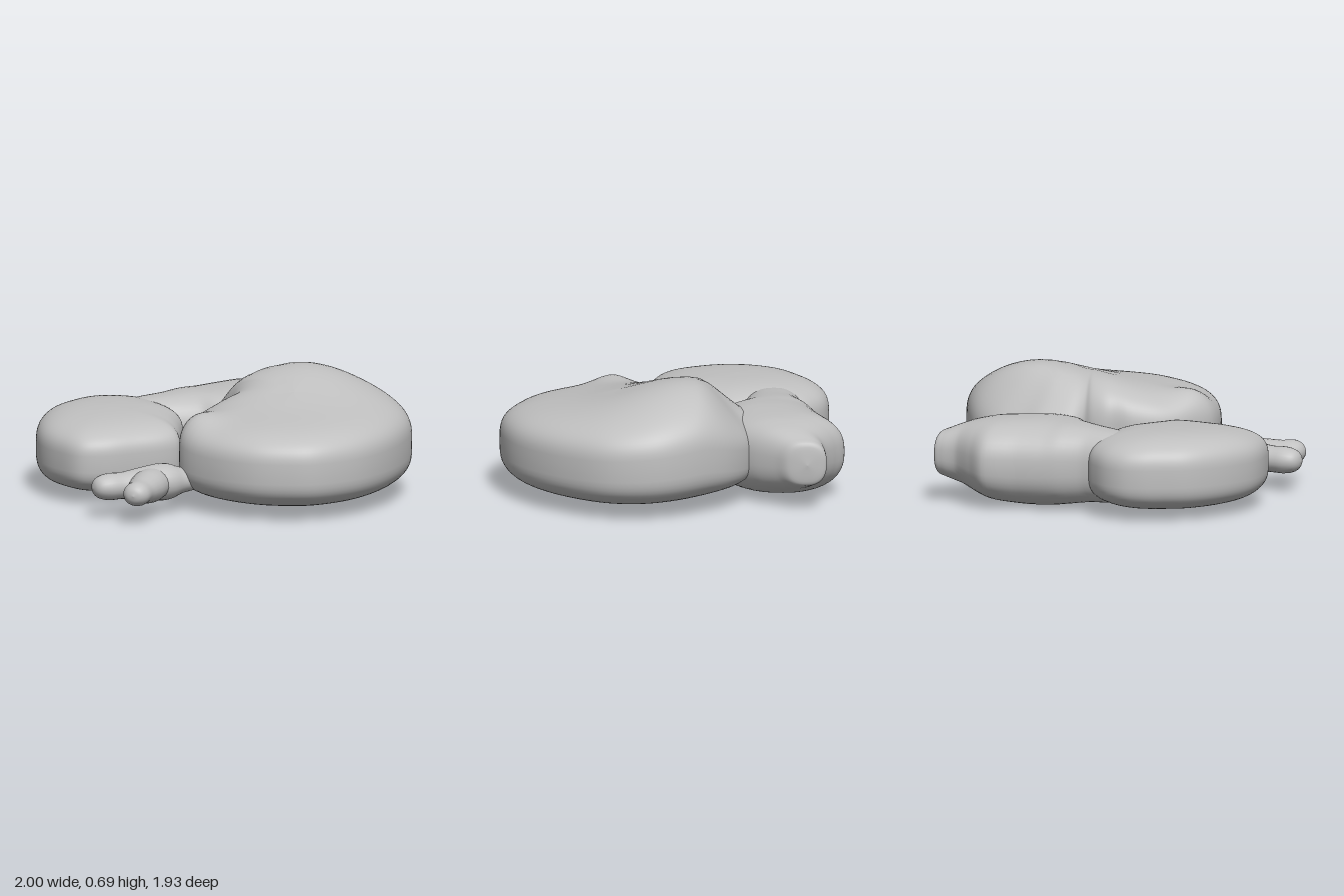
import * as THREE from 'three';

const grey = new THREE.MeshStandardMaterial({ color: 0xc0c0c0 });
grey.name = 'clay grey';

const bump = (x, z, cx, cz, amp, spread) => amp * Math.exp(-((x - cx) ** 2 + (z - cz) ** 2) / spread);
const signedPow = (v, e) => Math.sign(v) * Math.pow(Math.abs(v), e);

// Smooth closed skin over a list of rings with equal point counts.
function skin(name, rings) {
  const n = rings[0].length, index = [];
  for (let i = 0; i < rings.length - 1; i++) {
    for (let j = 0; j < n; j++) {
      const p = i * n + j, q = i * n + (j + 1) % n;
      index.push(p, p + n, q, q, p + n, q + n);
    }
  }
  const g = new THREE.BufferGeometry().setFromPoints(rings.flat());
  g.setIndex(index);
  g.computeVertexNormals();
  const mesh = new THREE.Mesh(g, grey);
  mesh.name = name;
  return mesh;
}

// Pillow-like slab: an outline in x/z swept from bottom to top with rounded rims.
function slab(name, outline, [cx, cz], bottom, top, power) {
  const curve = new THREE.CatmullRomCurve3(outline.map(([x, z]) => new THREE.Vector3(x, 0, z)), true);
  const rim = curve.getPoints(120).slice(0, -1);
  if (THREE.ShapeUtils.area(rim.map(p => new THREE.Vector2(p.x, p.z))) < 0) rim.reverse();
  const rings = [], rows = 40;
  for (let i = 0; i <= rows; i++) {
    const a = (i / rows - 0.5) * Math.PI;
    const s = Math.pow(Math.max(0, Math.cos(a)), 2 / power);
    const h = 0.5 + 0.5 * signedPow(Math.sin(a), 2 / power);
    rings.push(rim.map(p => {
      const x = cx + (p.x - cx) * s, z = cz + (p.z - cz) * s;
      return new THREE.Vector3(x, THREE.MathUtils.lerp(bottom(x, z), top(x, z), h), z);
    }));
  }
  return skin(name, rings);
}

// Loft along x from stations [x, zBack, zFront, yBottom, yTop] with superellipse sections.
function loft(name, stations, power) {
  const zSpan = new THREE.CatmullRomCurve3(stations.map(s => new THREE.Vector3(s[0], s[1], s[2])), false, 'catmullrom', 0.4);
  const ySpan = new THREE.CatmullRomCurve3(stations.map(s => new THREE.Vector3(s[0], s[3], s[4])), false, 'catmullrom', 0.4);
  const rings = [], rows = 72, sides = 48;
  for (let i = 0; i <= rows; i++) {
    const { x, y: z0, z: z1 } = zSpan.getPoint(i / rows);
    const { y: y0, z: y1 } = ySpan.getPoint(i / rows);
    rings.push(Array.from({ length: sides }, (_, j) => {
      const t = j / sides * Math.PI * 2;
      return new THREE.Vector3(x,
        (y0 + y1) / 2 + (y1 - y0) / 2 * signedPow(Math.sin(t), 2 / power),
        (z0 + z1) / 2 + (z1 - z0) / 2 * signedPow(Math.cos(t), 2 / power));
    }));
  }
  return skin(name, rings);
}

// Round limb turned from [distance, radius] stations, lying between two points.
function limb(name, from, to, stations) {
  const pts = new THREE.SplineCurve(stations.map(([d, r]) => new THREE.Vector2(r, d))).getPoints(36);
  pts.forEach(p => { p.x = Math.max(0, p.x); });
  const a = new THREE.Vector3(...from), dir = new THREE.Vector3(...to).sub(a);
  const g = new THREE.LatheGeometry(pts, 24);
  g.scale(1, dir.length(), 1);
  g.applyQuaternion(new THREE.Quaternion().setFromUnitVectors(new THREE.Vector3(0, 1, 0), dir.normalize()));
  g.scale(1, 0.88, 1);
  const mesh = new THREE.Mesh(g, grey);
  mesh.position.copy(a);
  mesh.name = name;
  return mesh;
}

export function createModel() {
  const model = new THREE.Group();
  model.name = 'meatJoint';

  // Large round thigh with a raised shoulder that sinks into the neck behind
  const shoulder = z => THREE.MathUtils.smoothstep(z, -0.5, -0.12);
  model.add(slab('thigh', [
    [-0.415, 0.35], [-0.36, 0.2], [-0.25, 0.05], [-0.1, -0.05], [0.03, -0.1], [0.085, -0.19],
    [0.08, -0.32], [0.13, -0.5], [0.28, -0.58], [0.43, -0.47], [0.61, -0.41], [0.79, -0.28],
    [0.94, -0.06], [1.0, 0.15], [0.965, 0.4], [0.81, 0.64], [0.6, 0.83], [0.4, 0.93],
    [0.15, 0.965], [-0.02, 0.91], [-0.19, 0.8], [-0.33, 0.61],
  ], [0.3, 0.28],
  () => 0.04,
  (x, z) => 0.48 + (0.045 + bump(x, z, 0.5, -0.1, 0.18, 0.25)) * shoulder(z) + bump(x, z, -0.33, 0.3, 0.06, 0.02), 3.5));

  // Flatter rear lobe
  model.add(slab('rearLobe', [
    [-1.0, -0.3], [-0.98, -0.13], [-0.91, 0.03], [-0.78, 0.09], [-0.6, 0.1], [-0.32, 0.07],
    [-0.26, -0.05], [-0.19, -0.2], [-0.12, -0.36], [-0.13, -0.56], [-0.18, -0.76], [-0.27, -0.85],
    [-0.36, -0.9], [-0.46, -0.915], [-0.56, -0.89], [-0.67, -0.83], [-0.79, -0.75], [-0.88, -0.64], [-0.96, -0.48],
  ], [-0.55, -0.4],
  () => 0.04,
  (x, z) => 0.455 + 0.02 * x + bump(x, z, -0.6, -0.5, 0.03, 0.2), 3.5));

  // Rounded joint linking lobe and thigh, tapering to a blunt stump
  model.add(loft('rearJoint', [
    [-0.5, -0.58, -0.58, 0.25, 0.25], [-0.42, -0.74, -0.46, 0.1, 0.42], [-0.28, -0.77, -0.41, 0.05, 0.45],
    [-0.14, -0.78, -0.38, 0.04, 0.465], [0.0, -0.835, -0.32, 0.02, 0.48], [0.09, -0.865, -0.22, 0.005, 0.485],
    [0.22, -0.905, -0.2, 0.0, 0.49], [0.39, -0.965, -0.25, 0.02, 0.485], [0.5, -0.91, -0.33, 0.045, 0.475],
    [0.61, -0.85, -0.44, 0.09, 0.45], [0.7, -0.85, -0.56, 0.13, 0.415], [0.75, -0.84, -0.63, 0.16, 0.385],
    [0.765, -0.74, -0.74, 0.27, 0.27],
  ], 2.5));

  // Forked bone end
  const bone = new THREE.Group();
  bone.name = 'bone';
  bone.add(limb('boneShaft', [-0.3, 0.175, 0.335], [-0.955, 0.175, 0.36], [
    [0, 0], [0.02, 0.06], [0.18, 0.085], [0.28, 0.112], [0.38, 0.118], [0.55, 0.103], [0.72, 0.085],
    [0.85, 0.086], [0.94, 0.07], [0.985, 0.04], [1, 0],
  ]));
  bone.add(limb('boneFork', [-0.53, 0.175, 0.29], [-0.83, 0.175, 0.655], [
    [0, 0], [0.04, 0.06], [0.2, 0.1], [0.4, 0.105], [0.58, 0.092], [0.72, 0.08], [0.88, 0.075], [0.97, 0.045], [1, 0],
  ]));
  model.add(bone);
  return model;
}
